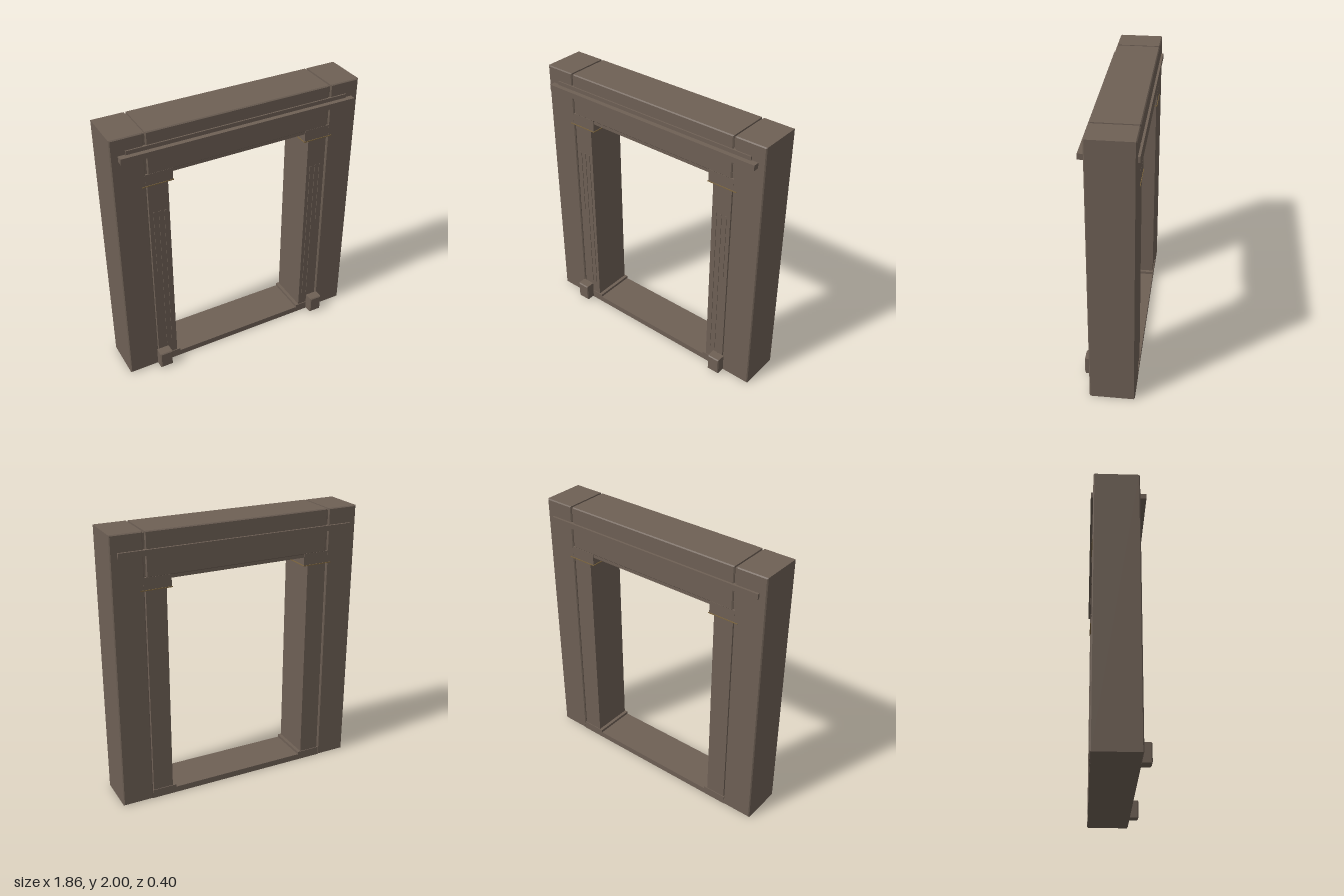
import * as THREE from 'three';

const stone = new THREE.MeshStandardMaterial({ color: 0x6e6055 });
stone.name = 'brownStone';
const gold = new THREE.MeshStandardMaterial({ color: 0x7d6640 });
gold.name = 'dullGold';

// Box given by its limits on each axis, with optional chamfered edges
function block(name, [x0, x1], [y0, y1], [z0, z1], chamfer = 0, material = stone) {
  const w = x1 - x0, h = y1 - y0, d = z1 - z0, c = chamfer;
  let geometry;
  if (c > 0) {
    const a = w / 2 - c, b = h / 2 - c;
    const shape = new THREE.Shape([
      new THREE.Vector2(-a, -b), new THREE.Vector2(a, -b),
      new THREE.Vector2(a, b), new THREE.Vector2(-a, b),
    ]);
    geometry = new THREE.ExtrudeGeometry(shape, {
      depth: d - 2 * c, bevelEnabled: true, bevelSize: c, bevelThickness: c, bevelSegments: 1,
    });
    geometry.translate(0, 0, -(d - 2 * c) / 2);
  } else {
    geometry = new THREE.BoxGeometry(w, h, d);
  }
  const mesh = new THREE.Mesh(geometry, material);
  mesh.name = name;
  mesh.position.set((x0 + x1) / 2, (y0 + y1) / 2, (z0 + z1) / 2);
  return mesh;
}

export function createModel() {
  const group = new THREE.Group();
  group.name = 'doorFrame';
  const back = -0.187, front = 0.133;

  // Lintel, its stepped underside and the sill
  group.add(
    block('lintel', [-0.689, 0.689], [1.685, 2], [back, front], 0.007),
    block('lintelCore', [-0.72, 0.72], [1.69, 1.988], [back + 0.012, front - 0.012]),
    block('lintelSoffit', [-0.52, 0.52], [1.662, 1.69], [back + 0.006, front - 0.006]),
    block('sill', [-0.71, 0.71], [0, 0.045], [back + 0.002, front - 0.002]),
  );

  // Mouldings across the lintel
  group.add(
    block('frontRail', [-0.88, 0.88], [1.84, 1.88], [front - 0.01, 0.178]),
    block('frontRailCap', [-0.83, 0.83], [1.88, 1.908], [front - 0.01, 0.143]),
    block('backRail', [-0.88, 0.88], [1.84, 1.88], [-0.203, back + 0.01]),
  );

  // Both jambs; the second side is the mirror of the first
  for (const s of [1, -1]) {
    const x = (a, b) => (s > 0 ? [a, b] : [-b, -a]);
    const jamb = new THREE.Group();
    jamb.name = s > 0 ? 'leftJamb' : 'rightJamb';
    jamb.add(
      block('outerPier', x(0.704, 0.932), [0, 2], [back, front], 0.007),
      block('innerPilaster', x(0.547, 0.696), [0.04, 1.61], [back + 0.006, front - 0.006]),
      block('capital', x(0.512, 0.71), [1.604, 1.69], [back, front]),
      block('capitalTrim', x(0.507, 0.735), [1.599, 1.605], [back - 0.004, front + 0.004], 0, gold),
      block('pilasterBase', x(0.522, 0.704), [0.04, 0.066], [back, front]),
      block('guardBlock', x(0.617, 0.713), [0.008, 0.14], [front - 0.01, 0.2], 0.007),
    );
    // Flutes on the front of the pilaster
    [[0.58, 0.17], [0.62, 0.17], [0.66, 0.87]].forEach(([cx, y0]) => {
      jamb.add(block('flute', x(cx - 0.007, cx + 0.007), [y0, 1.38], [front - 0.01, front - 0.002]));
    });
    group.add(jamb);
  }
  return group;
}
